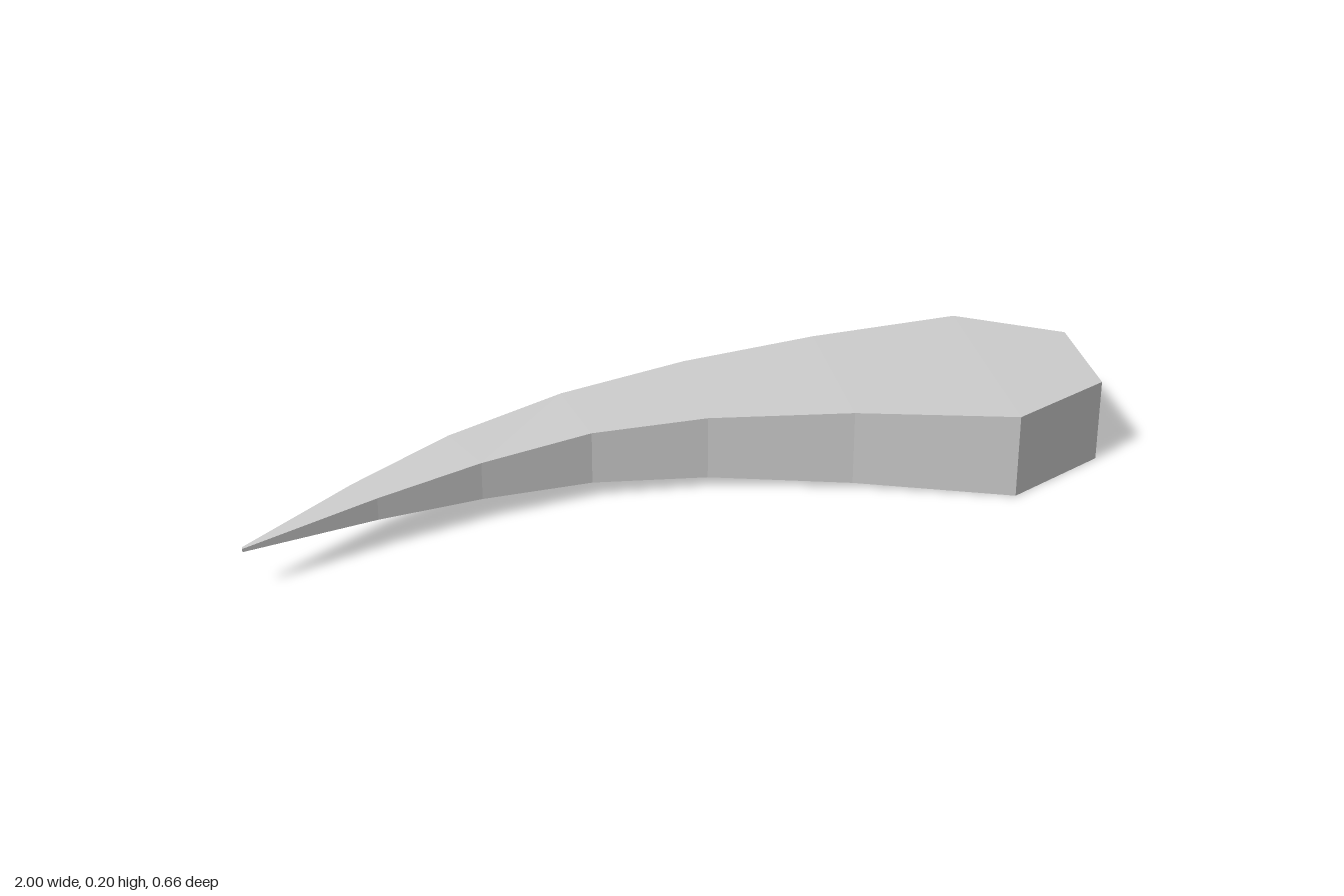
import * as THREE from 'three';

// Cross-sections from blunt end to tip: back x, back z, front x, front z, half height
const SECTIONS = [
  [1.0, -0.19, 1.0, 0.085, 0.101],
  [0.76, -0.328, 0.76, 0.224, 0.102],
  [0.4, -0.3, 0.4, 0.115, 0.091],
  [0.07, -0.25, 0.07, 0.052, 0.077],
  [-0.24, -0.16, -0.2, 0.052, 0.064],
  [-0.52, -0.03, -0.46, 0.115, 0.046],
  [-0.75, 0.125, -0.7, 0.2, 0.027],
  [-1.0, 0.32, -1.0, 0.328, 0.004],
];
const MID_Y = 0.102;

// Joins rectangular cross-sections into a closed, faceted solid
function loftSections(sections) {
  const positions = [];
  const index = [];
  for (const [bx, bz, fx, fz, h] of sections) {
    positions.push(fx, MID_Y + h, fz, fx, MID_Y - h, fz);
    positions.push(bx, MID_Y - h, bz, bx, MID_Y + h, bz);
  }
  const quad = (a, b, c, d) => index.push(a, b, c, a, c, d);
  for (let i = 0; i < sections.length - 1; i++) {
    for (let j = 0; j < 4; j++) {
      const k = (j + 1) % 4;
      quad(i * 4 + j, i * 4 + 4 + j, i * 4 + 4 + k, i * 4 + k);
    }
  }
  // End caps
  const n = (sections.length - 1) * 4;
  quad(0, 1, 2, 3);
  quad(n + 3, n + 2, n + 1, n);

  const indexed = new THREE.BufferGeometry();
  indexed.setAttribute('position', new THREE.Float32BufferAttribute(positions, 3));
  indexed.setIndex(index);
  const geometry = indexed.toNonIndexed();
  geometry.computeVertexNormals();
  return geometry;
}

export function createModel() {
  const group = new THREE.Group();
  group.name = 'curvedClaw';

  const grey = new THREE.MeshStandardMaterial({ color: 0xcccccc });
  grey.name = 'light grey';

  // Curved body tapering to a point
  const claw = new THREE.Mesh(loftSections(SECTIONS), grey);
  claw.name = 'claw';
  group.add(claw);
  return group;
}
